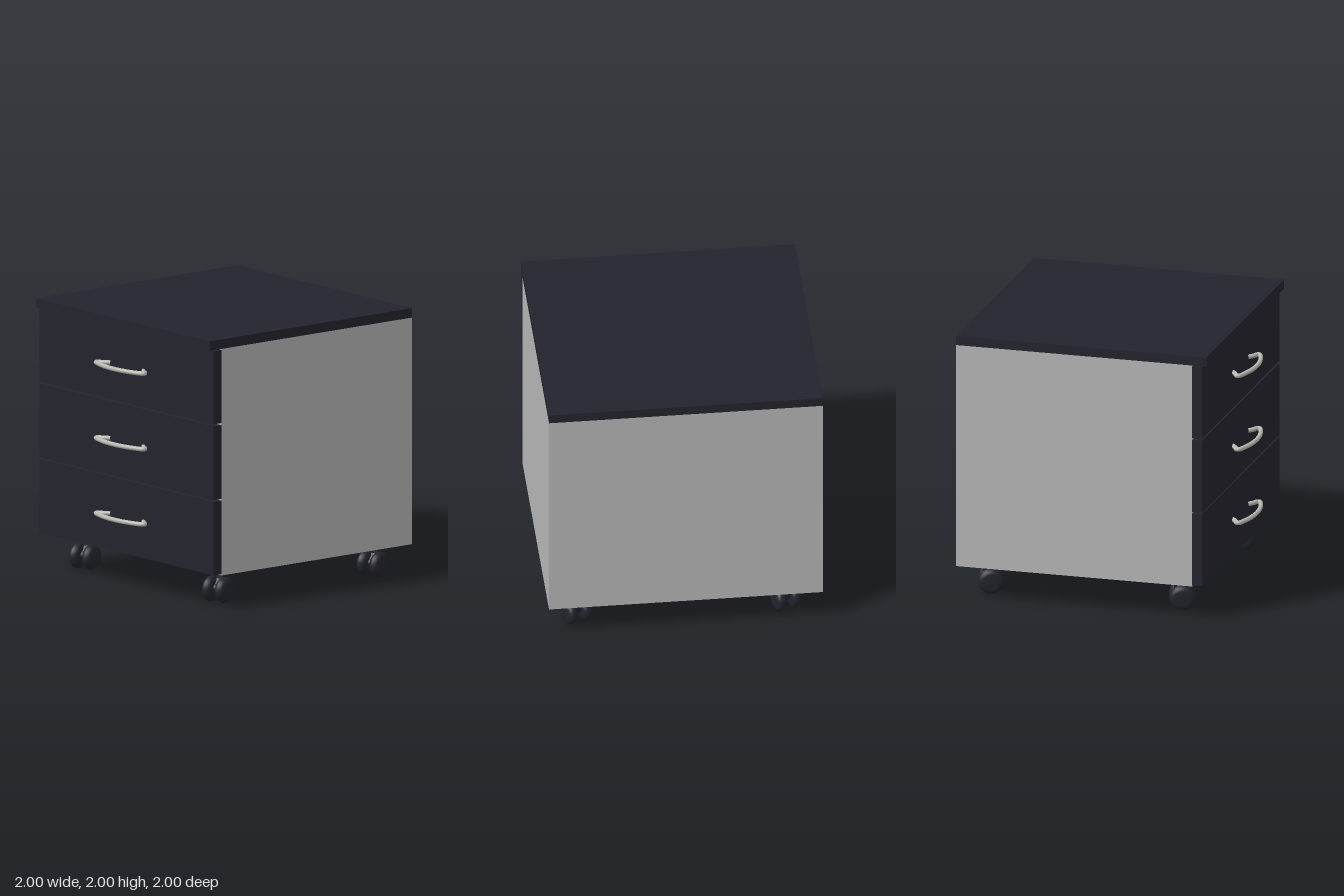
import * as THREE from 'three';

const material = (name, color) => {
  const m = new THREE.MeshStandardMaterial({ color });
  m.name = name;
  return m;
};

export function createModel() {
  const dark = material('darkNavy', 0x23232d);
  const grey = material('lightGrey', 0xb6b6b6);
  const metal = material('satinMetal', 0xb9b9b2);

  const model = new THREE.Group();
  model.name = 'drawerCabinet';

  const add = (parent, name, geometry, mat) => {
    const mesh = new THREE.Mesh(geometry, mat);
    mesh.name = name;
    parent.add(mesh);
    return mesh;
  };

  // Box given by its limits in y and z, full cabinet width
  const slab = (name, y0, y1, z0, z1, mat) =>
    add(model, name, new THREE.BoxGeometry(2, y1 - y0, z1 - z0), mat)
      .position.set(0, (y0 + y1) / 2, (z0 + z1) / 2);

  slab('body', 0.25, 1.93, -1, 0.787, grey);
  slab('topPanel', 1.93, 2, -1, 0.895, dark);

  // Bowed handle whose ends fold back into the drawer front
  const half = [[0.19, 0.855], [0.235, 0.892], [0.271, 0.908], [0.27, 0.926],
    [0.2, 0.954], [0.1, 0.976]];
  const path = new THREE.CatmullRomCurve3([
    ...half.map(([x, z]) => new THREE.Vector3(-x, 0, z)),
    new THREE.Vector3(0, 0, 0.983),
    ...half.slice().reverse().map(([x, z]) => new THREE.Vector3(x, 0, z)),
  ]);
  const handleGeometry = new THREE.TubeGeometry(path, 72, 0.017, 12);

  // Drawer fronts: bottom, top, handle height
  const drawers = [[0.26, 0.804, 0.53], [0.818, 1.364, 1.088], [1.38, 1.922, 1.648]];
  drawers.forEach(([y0, y1, handleY], i) => {
    slab(`drawerFront${i + 1}`, y0, y1, 0.787, 0.862, dark);
    add(model, `handle${i + 1}`, handleGeometry, metal).position.y = handleY;
  });

  // Rounded wheel, lathed about its axle
  const wheelProfile = [[0, -0.038], [0.055, -0.038], [0.078, -0.032], [0.091, -0.018],
    [0.096, 0], [0.091, 0.018], [0.078, 0.032], [0.055, 0.038], [0, 0.038]]
    .map(([r, y]) => new THREE.Vector2(r, y));
  const wheelGeometry = new THREE.LatheGeometry(wheelProfile, 32).rotateZ(-Math.PI / 2);
  const hubGeometry = new THREE.CylinderGeometry(0.034, 0.034, 0.08, 20).rotateZ(Math.PI / 2);

  // Bracket side profile (z, y), extruded across the width
  const bracketShape = new THREE.Shape([[-0.068, 0.255], [-0.026, 0.255], [-0.02, 0.17],
    [0.03, 0.11], [0.02, 0.075], [-0.03, 0.08], [-0.062, 0.17]]
    .map(([z, y]) => new THREE.Vector2(z, y)));
  const bracketGeometry = new THREE.ExtrudeGeometry(bracketShape, { depth: 0.05, bevelEnabled: false })
    .translate(0, 0, -0.025).rotateY(-Math.PI / 2);

  // Four twin-wheel casters, all swivelled the same way
  for (const [i, x] of [-0.746, 0.779].entries()) {
    for (const [j, z] of [0.639, -0.81].entries()) {
      const caster = new THREE.Group();
      caster.name = `${j ? 'back' : 'front'}${i ? 'Left' : 'Right'}Caster`;
      caster.position.set(x, 0, z);
      caster.rotation.y = 0.3;
      for (const side of [-1, 1]) {
        add(caster, 'wheel', wheelGeometry, dark).position.set(side * 0.057, 0.096, 0);
      }
      add(caster, 'hub', hubGeometry, dark).position.y = 0.1;
      add(caster, 'bracket', bracketGeometry, dark);
      model.add(caster);
    }
  }
  return model;
}
